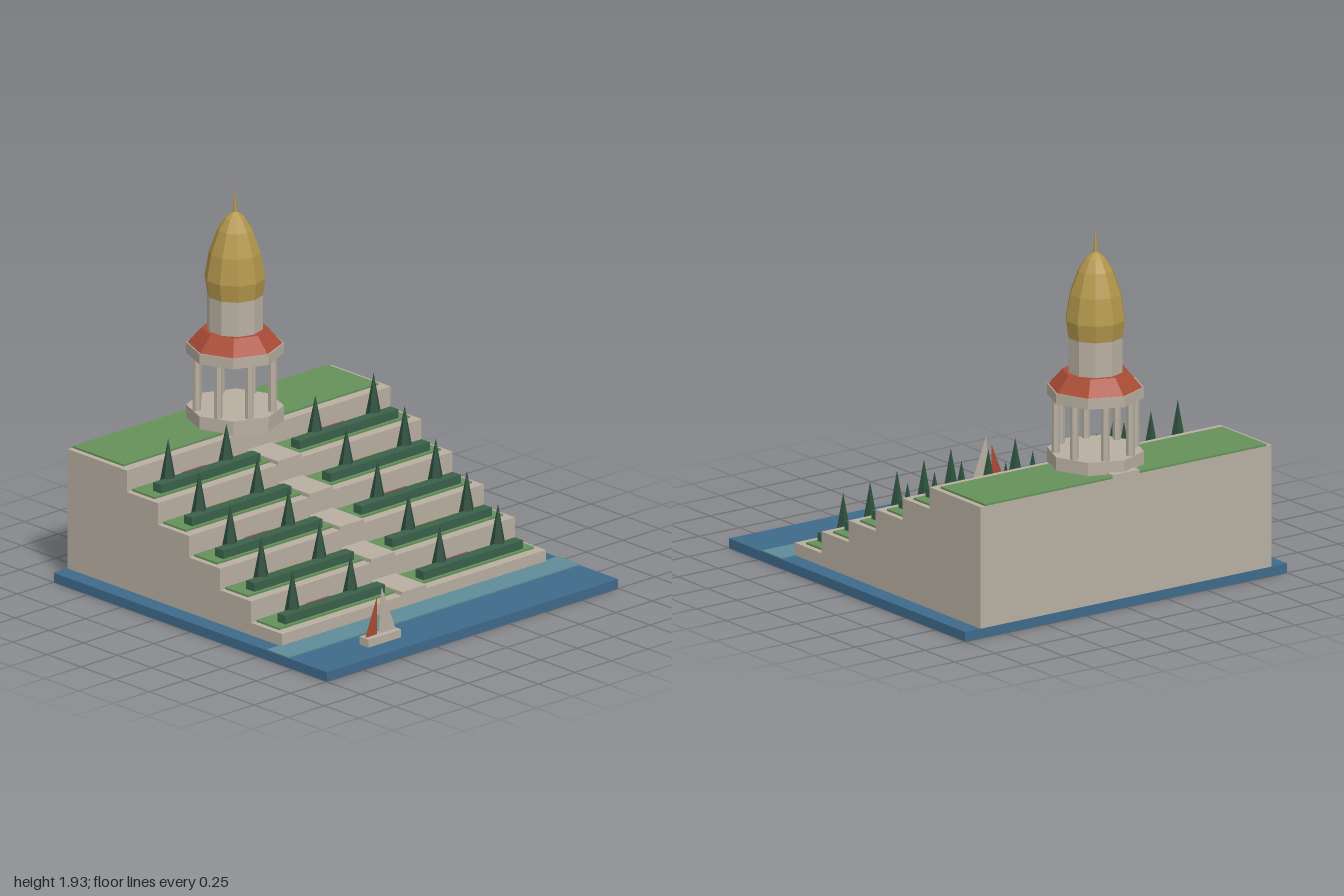
import * as THREE from 'three';

const mat = (name, color, side = THREE.FrontSide) => {
  const m = new THREE.MeshStandardMaterial({ color, side });
  m.name = name;
  return m;
};

export function createModel() {
  const stone = mat('stone', 0xb8afa1, THREE.DoubleSide);
  const water = mat('deep water', 0x3f6a8c, THREE.DoubleSide);
  const shallow = mat('shallow water', 0x5f8c98);
  const lawnGreen = mat('lawn green', 0x65915a);
  const hedgeGreen = mat('hedge green', 0x3a6149);
  const treeGreen = mat('cypress green', 0x2d4f3b);
  const pink = mat('flower pink', 0xb94263);
  const gold = mat('gold', 0xb2964c);
  const red = mat('tile red', 0xa94c35);

  const model = new THREE.Group();
  model.name = 'terracedGarden';

  const add = (name, geo, material, x = 0, y = 0, z = 0, parent = model) => {
    const mesh = new THREE.Mesh(geo, material);
    mesh.name = name;
    mesh.position.set(x, y, z);
    parent.add(mesh);
    return mesh;
  };
  // Box given by its limits
  const box = (name, material, x0, x1, y0, y1, z0, z1, parent) =>
    add(name, new THREE.BoxGeometry(x1 - x0, y1 - y0, z1 - z0), material,
      (x0 + x1) / 2, (y0 + y1) / 2, (z0 + z1) / 2, parent);
  // Box without its bottom face
  const openBox = (...args) => {
    const mesh = box(...args);
    const idx = Array.from(mesh.geometry.index.array);
    idx.splice(18, 6);
    mesh.geometry.setIndex(idx);
    mesh.geometry.clearGroups();
    return mesh;
  };
  // Faceted solid of revolution from radius r0 (bottom) to r1 (top)
  const prism = (name, material, r0, r1, y0, y1, sides, x, z, parent) => {
    const geo = new THREE.CylinderGeometry(r1, r0, y1 - y0, sides).toNonIndexed();
    geo.computeVertexNormals();
    return add(name, geo, material, x, (y0 + y1) / 2, z, parent);
  };

  // Water
  openBox('water', water, -1, 1, 0, 0.05, -1, 1);
  box('shoreWater', shallow, -1, 1, 0.05, 0.056, 0.56, 0.72);

  // Terraces with their planting
  const STEPS = 6, DEPTH = 0.2277, RISE = 0.114;
  for (let i = 0; i < STEPS; i++) {
    const last = i === STEPS - 1;
    const zf = 0.572 - i * DEPTH;
    const zb = last ? -0.999 : zf - DEPTH;
    const h = 0.116 + i * RISE;
    const terrace = new THREE.Group();
    terrace.name = `terrace${i + 1}`;
    model.add(terrace);

    openBox('terraceBlock', stone, -0.905, 0.905, 0, h, zb, zf, terrace);
    box('path', stone, -0.083, 0.083, h - 0.005, h + 0.02, zb, zf + 0.001, terrace);
    if (last) {
      box('topLawn', lawnGreen, -0.875, 0.875, h, h + 0.01, -0.997, zf - 0.055, terrace);
      continue;
    }
    for (const s of [-1, 1]) {
      const span = (name, material, a, b, y0, y1, z0, z1) =>
        box(name, material, Math.min(s * a, s * b), Math.max(s * a, s * b), y0, y1, z0, z1, terrace);
      span('lawn', lawnGreen, 0.083, 0.875, h, h + 0.01, zf - 0.222, zf - 0.055);
      span('hedge', hedgeGreen, 0.133, 0.815, h + 0.005, h + 0.055, zf - 0.132, zf - 0.072);
      span('flowerBed', i % 2 ? gold : pink, 0.397, 0.553, h + 0.005, h + 0.027, zf - 0.198, zf - 0.146);
      for (const [x, tall] of [[0.305, 0.235], [0.705, 0.255]]) {
        const geo = new THREE.ConeGeometry(0.047, tall, 5).toNonIndexed();
        geo.computeVertexNormals();
        add('cypress', geo, treeGreen, s * x, h + 0.005 + tall / 2, zf - 0.138, terrace);
      }
    }
  }

  // Tower
  const tower = new THREE.Group();
  tower.name = 'tower';
  tower.position.z = -0.74;
  model.add(tower);
  prism('plinth', stone, 0.245, 0.245, 0.686, 0.765, 8, 0, 0, tower);
  for (let i = 0; i < 8; i++) {
    const a = (i + 0.5) * Math.PI / 4;
    prism('column', stone, 0.022, 0.022, 0.765, 1.045, 6, 0.205 * Math.sin(a), 0.205 * Math.cos(a), tower);
  }
  prism('entablature', stone, 0.245, 0.245, 1.043, 1.098, 8, 0, 0, tower);
  prism('roof', red, 0.238, 0.168, 1.098, 1.178, 8, 0, 0, tower);
  prism('drum', stone, 0.142, 0.142, 1.178, 1.362, 10, 0, 0, tower);

  // Gilded dome and spire
  const profile = [[0, 1.36], [0.142, 1.36], [0.155, 1.45], [0.132, 1.585], [0.088, 1.705],
    [0.05, 1.765], [0.012, 1.797], [0, 1.797]].map(([r, y]) => new THREE.Vector2(r, y));
  const dome = new THREE.LatheGeometry(profile, 10).toNonIndexed();
  dome.computeVertexNormals();
  add('dome', dome, gold, 0, 0, 0, tower);
  prism('spire', gold, 0.014, 0, 1.785, 1.93, 6, 0, 0, tower);

  // Sailing boat
  const boat = new THREE.Group();
  boat.name = 'boat';
  model.add(boat);
  box('hull', stone, -0.625, -0.4, 0.063, 0.105, 0.84, 0.905, boat);
  const sail = (name, material, pts) => {
    const shape = new THREE.Shape(pts.map(([x, y]) => new THREE.Vector2(x, y)));
    add(name, new THREE.ExtrudeGeometry(shape, { depth: 0.003, bevelEnabled: false }), material, 0, 0, 0.871, boat);
  };
  sail('mainSail', stone, [[-0.525, 0.105], [-0.41, 0.105], [-0.505, 0.345]]);
  sail('foreSail', red, [[-0.615, 0.105], [-0.538, 0.105], [-0.538, 0.295]]);

  return model;
}
